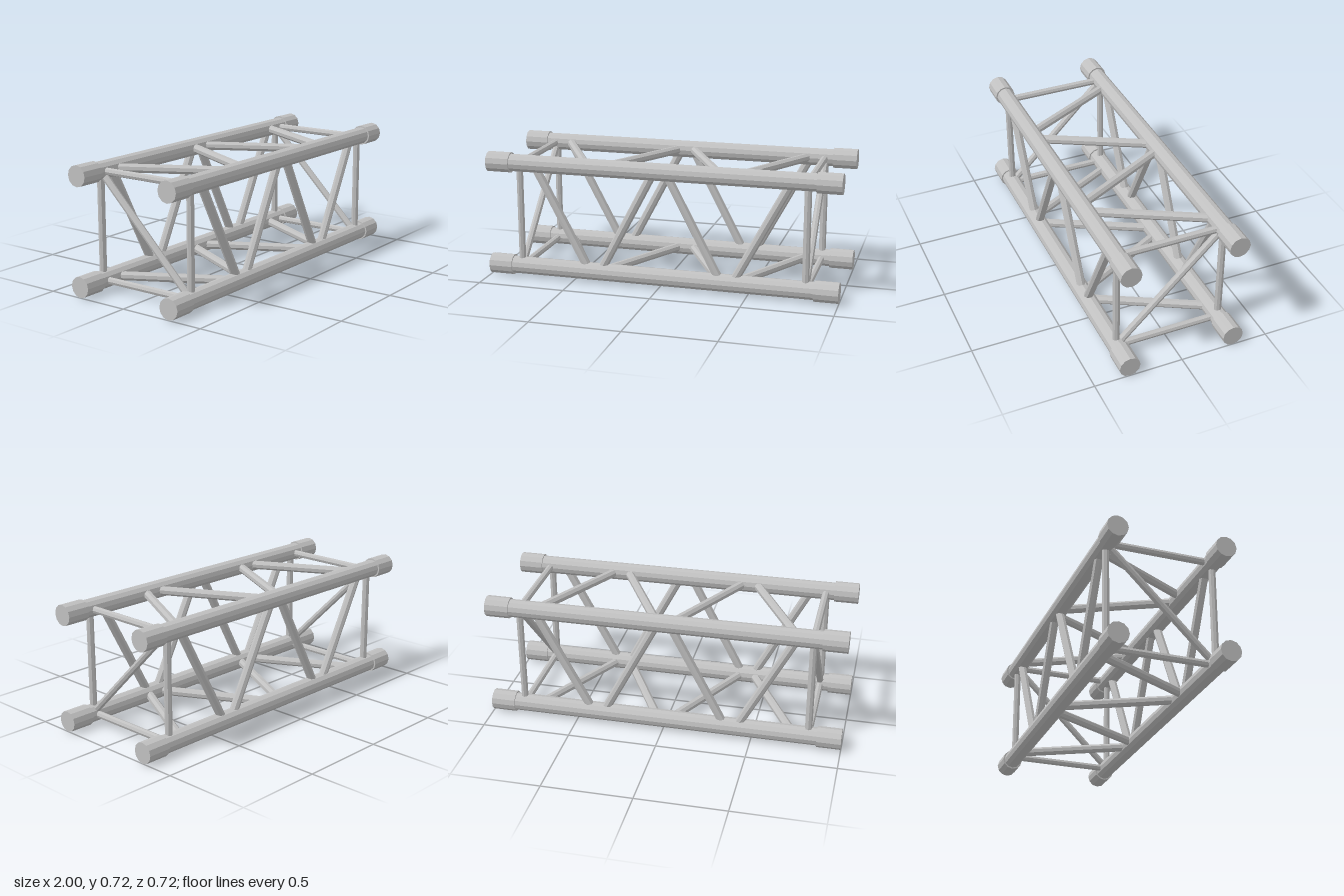
import * as THREE from 'three';

const HALF = 0.3;        // half spacing between chord centres
const CENTRE_Y = 0.3585; // height of the truss axis

export function createModel() {
  const truss = new THREE.Group();
  truss.name = 'boxTruss';
  const metal = new THREE.MeshStandardMaterial({ color: 0xc0c0c0, flatShading: true });
  metal.name = 'aluminium grey';
  const up = new THREE.Vector3(0, 1, 0);

  // Straight tube between two points; a and b are [x, v, w] with v, w = offsets in y and z
  function tube(name, a, b, radius, sides) {
    const p = new THREE.Vector3(a[0], CENTRE_Y + a[1], a[2]);
    const q = new THREE.Vector3(b[0], CENTRE_Y + b[1], b[2]);
    const dir = q.clone().sub(p);
    const mesh = new THREE.Mesh(new THREE.CylinderGeometry(radius, radius, dir.length(), sides), metal);
    mesh.name = name;
    mesh.position.copy(p).add(q).multiplyScalar(0.5);
    mesh.quaternion.setFromUnitVectors(up, dir.normalize());
    truss.add(mesh);
  }

  // Four main chords with end collars
  for (const y of [-HALF, HALF]) {
    for (const z of [-HALF, HALF]) {
      tube('chord', [-0.98, y, z], [0.98, y, z], 0.05, 12);
      for (const s of [-1, 1]) tube('endCollar', [s * 0.865, y, z], [s, y, z], 0.0585, 12);
    }
  }

  // Zigzag lacing: [x at the upper or back chord, x at the lower or front chord]
  const lacing = [[-0.732, -0.412], [-0.033, -0.348], [0.033, 0.348], [0.732, 0.412]];
  for (const side of [-HALF, HALF]) {
    for (const [x0, x1] of lacing) {
      tube('sideLacing', [x0, HALF, side], [x1, -HALF, side], 0.025, 8);
      tube('flatLacing', [x0, side, -HALF], [x1, side, HALF], 0.025, 8);
    }
  }

  // Square end frames, each with one diagonal
  for (const x of [-0.816, 0.816]) {
    for (const side of [-HALF, HALF]) {
      tube('endPost', [x, -HALF, side], [x, HALF, side], 0.02, 8);
      tube('endCrossbar', [x, side, -HALF], [x, side, HALF], 0.02, 8);
    }
    tube('endDiagonal', [x, -HALF, HALF], [x, HALF, -HALF], 0.02, 8);
  }
  return truss;
}
